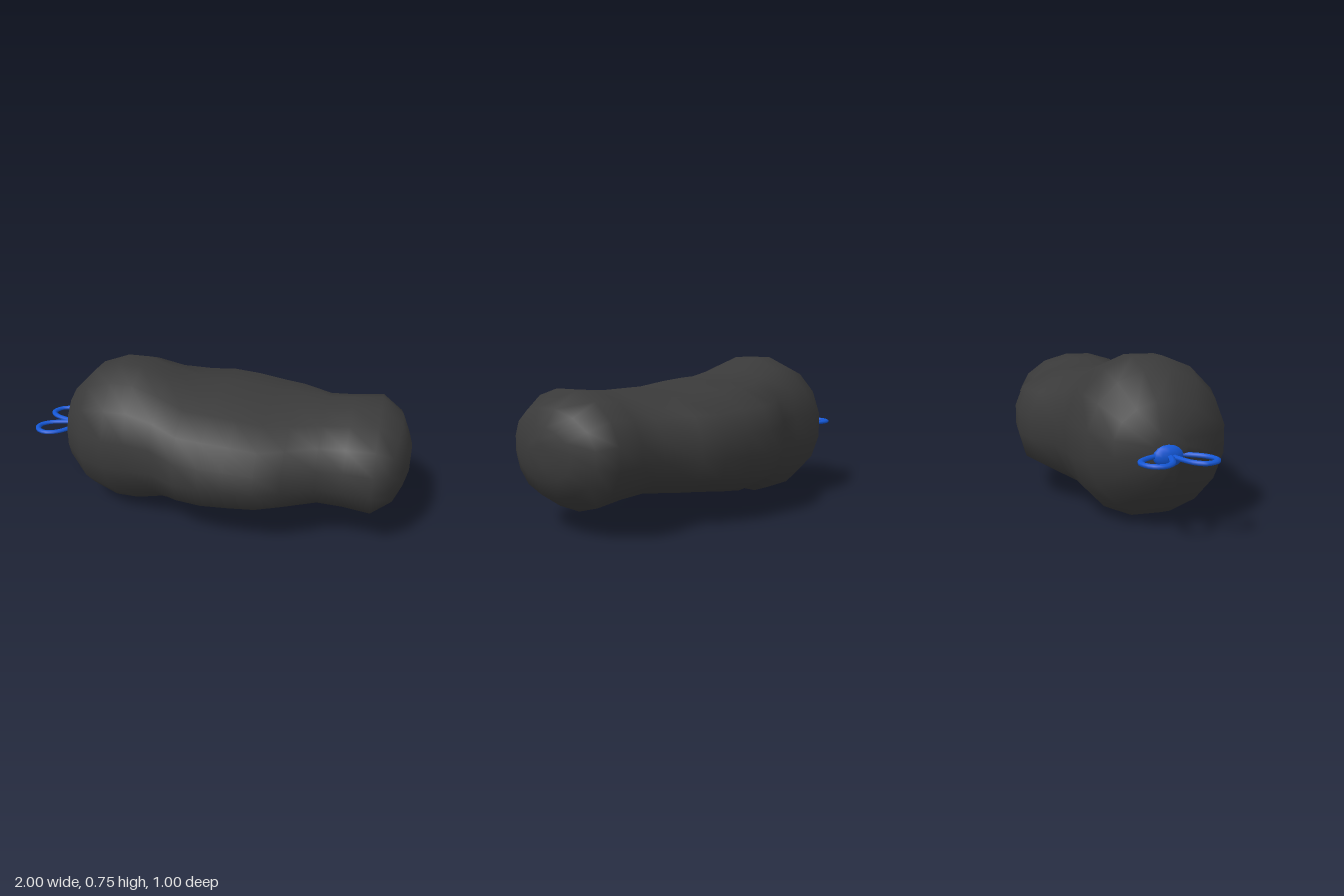
import * as THREE from 'three';

// Lumpy body: rounded 16-sided cross-sections along x.
// x, bottom y, top y, back z, front z, squareness of: upper back, lower back, upper front, lower front
const ROUND = [2.05, 2.05, 2.05, 2.05];
const SECTIONS = [
  [-0.815, 0.30, 0.45, -0.07, 0.08, ...ROUND],
  [-0.765, 0.18, 0.575, -0.23, 0.24, ...ROUND],
  [-0.64, 0.05, 0.70, -0.32, 0.33, ...ROUND],
  [-0.50, 0.0, 0.75, -0.36, 0.375, ...ROUND],
  [-0.38, 0.0, 0.75, -0.36, 0.38, ...ROUND],
  [-0.24, 0.05, 0.70, -0.385, 0.395, 2.2, 2.2, 2, 2.2],
  [-0.10, 0.085, 0.66, -0.475, 0.475, 2.5, 2.7, 1.95, 2.4],
  [0.03, 0.09, 0.655, -0.505, 0.495, 2.7, 3, 1.9, 2.5],
  [0.16, 0.105, 0.645, -0.495, 0.50, 2.7, 3, 1.9, 2.5],
  [0.30, 0.125, 0.625, -0.48, 0.50, 2.7, 2.9, 2, 2.5],
  [0.42, 0.13, 0.625, -0.44, 0.45, 2.5, 2.6, 2, 2.4],
  [0.57, 0.13, 0.625, -0.35, 0.365, 2.1, 2.1, 2.1, 2.1],
  [0.70, 0.12, 0.635, -0.35, 0.36, ...ROUND],
  [0.835, 0.105, 0.65, -0.365, 0.375, ...ROUND],
  [0.945, 0.18, 0.575, -0.305, 0.315, ...ROUND],
  [0.98, 0.255, 0.495, -0.20, 0.21, ...ROUND],
  [1.0, 0.31, 0.44, -0.06, 0.075, ...ROUND],
];

function bodyGeometry(sides = 16) {
  const positions = [], indices = [], last = SECTIONS.length - 1;
  const reach = 1 / Math.cos(Math.PI / sides);
  SECTIONS.forEach(([x, y0, y1, z0, z1, upBack, lowBack, upFront, lowFront], i) => {
    // the rings at both ends curve inward towards their sides
    const curl = x > 0.9 ? -0.35 : x < -0.7 ? 0.35 : 0;
    for (let j = 0; j < sides; j++) {
      const a = ((j + 0.5) / sides) * Math.PI * 2, c = Math.cos(a), s = Math.sin(a);
      const n = c < 0 ? (s > 0 ? upBack : lowBack) : (s > 0 ? upFront : lowFront);
      const r = (Math.abs(c) ** n + Math.abs(s) ** n) ** (-1 / n);
      // flat sides reach the full width and height
      const y = Math.max(-1, Math.min(1, s * r * reach));
      const z = Math.min(1, Math.abs(c) * r * reach) * (c < 0 ? z0 : z1);
      positions.push(x + curl * z * z, (y0 + y1) / 2 + y * (y1 - y0) / 2, z);
      if (i < last) {
        const p = i * sides + j, q = i * sides + (j + 1) % sides;
        indices.push(p, p + sides, q, q, p + sides, q + sides);
      }
    }
  });
  // closed ends
  for (let j = 1; j < sides - 1; j++) {
    indices.push(0, j, j + 1);
    indices.push(last * sides, last * sides + j + 1, last * sides + j);
  }
  const geometry = new THREE.BufferGeometry();
  geometry.setAttribute('position', new THREE.Float32BufferAttribute(positions, 3));
  geometry.setIndex(indices);
  geometry.computeVertexNormals();
  return geometry;
}

export function createModel() {
  const group = new THREE.Group();
  const dark = new THREE.MeshStandardMaterial({ color: 0x3a3a3a });
  const blue = new THREE.MeshStandardMaterial({ color: 0x1458d8 });
  const add = (name, geometry, material) => {
    const mesh = new THREE.Mesh(geometry, material);
    mesh.name = name;
    group.add(mesh);
    return mesh;
  };

  add('body', bodyGeometry(), dark);

  // Tied bow on the end: a knot and two loops
  const knot = add('knot', new THREE.SphereGeometry(1, 12, 8), blue);
  knot.scale.set(0.03, 0.05, 0.07);
  knot.position.set(-0.812, 0.35, -0.01);

  const loop = [[-0.81, 0.01], [-0.90, 0.025], [-0.955, 0.05], [-0.985, 0.09],
    [-0.97, 0.14], [-0.922, 0.165], [-0.87, 0.15], [-0.825, 0.105], [-0.80, 0.05]];
  for (const [name, side] of [['frontLoop', 1], ['backLoop', -1]]) {
    const points = loop.map(([x, z]) => new THREE.Vector3(x, 0, side * z));
    const curve = new THREE.CatmullRomCurve3(points, true);
    const mesh = add(name, new THREE.TubeGeometry(curve, 28, 0.015, 6, true), blue);
    mesh.position.y = 0.35;
    mesh.scale.y = 0.75;
  }
  return group;
}
